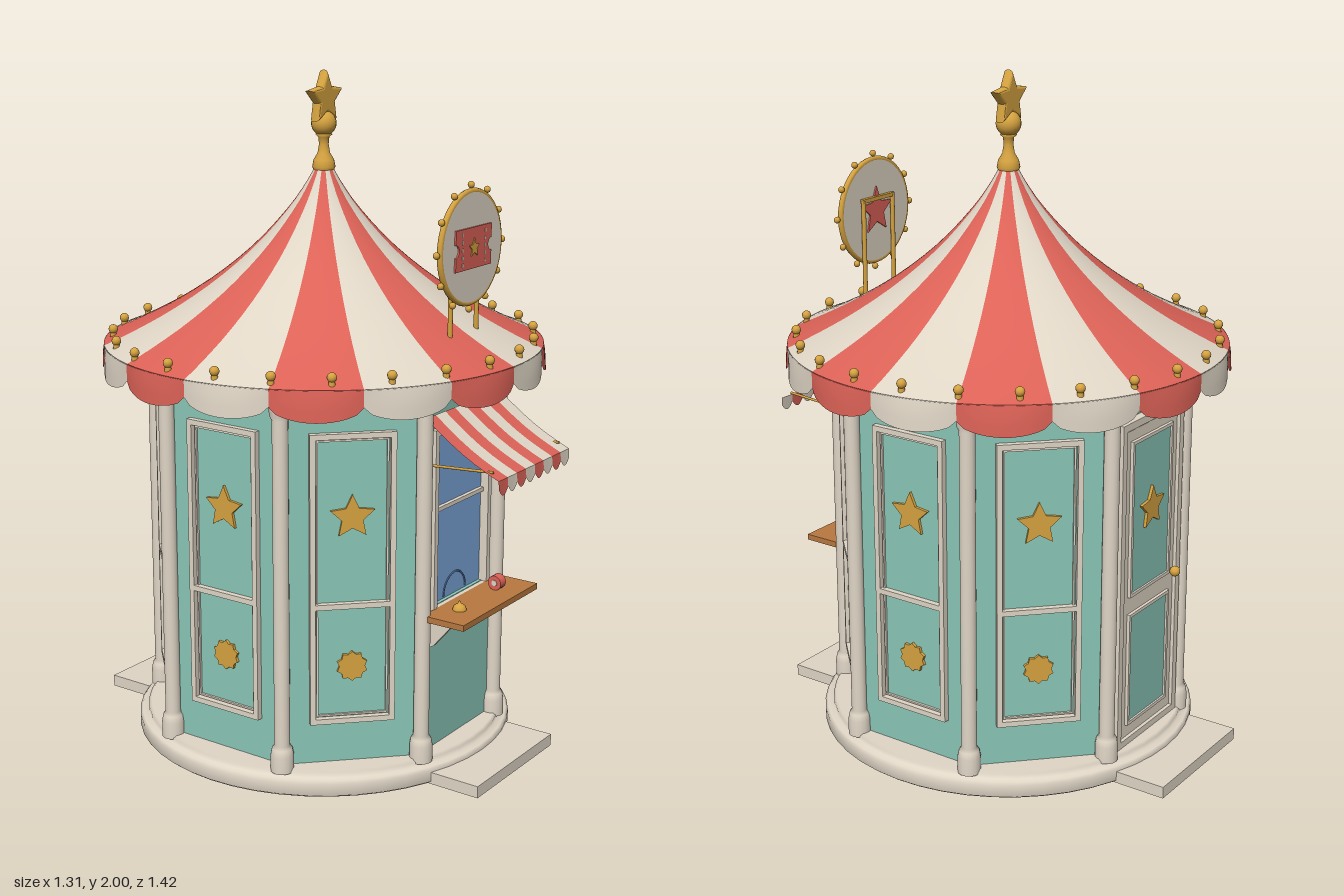
import * as THREE from 'three';

const mat = (name, color, side = THREE.FrontSide) => {
  const m = new THREE.MeshStandardMaterial({ color, side });
  m.name = name;
  return m;
};

export function createModel() {
  const cream = mat('cream', 0xe0d6c6, THREE.DoubleSide);
  const red = mat('red', 0xdc6257, THREE.DoubleSide);
  const teal = mat('teal', 0x8ac6b8);
  const gold = mat('gold', 0xd6a340);
  const blue = mat('glass blue', 0x7ba5d8);
  const navy = mat('dark blue', 0x4c6d9c);
  const wood = mat('wood', 0xb87840);

  const model = new THREE.Group();
  const booth = new THREE.Group();
  booth.name = 'booth';
  booth.position.z = -0.018;
  model.add(booth);

  const add = (parent, name, geo, material, x = 0, y = 0, z = 0) => {
    const m = new THREE.Mesh(geo, material);
    m.name = name;
    m.position.set(x, y, z);
    parent.add(m);
    return m;
  };
  const group = (name, parent = booth) => {
    const g = new THREE.Group();
    g.name = name;
    parent.add(g);
    return g;
  };
  const box = (p, name, m, w, h, d, x, y, z) => add(p, name, new THREE.BoxGeometry(w, h, d), m, x, y, z);
  const lathe = (pts, seg = 32, start = 0, len = Math.PI * 2) =>
    new THREE.LatheGeometry(pts.map(p => new THREE.Vector2(p[0], p[1])), seg, start, len);
  const plate = (shape, depth) => new THREE.ExtrudeGeometry(shape, { depth, bevelEnabled: false, curveSegments: 10 });
  // Radial outline with alternating outer and inner points
  const starShape = (points, R, r) => {
    const s = new THREE.Shape();
    for (let i = 0; i < points * 2; i++) {
      const a = Math.PI / 2 + i * Math.PI / points, q = i % 2 ? r : R;
      s[i ? 'lineTo' : 'moveTo'](q * Math.cos(a), q * Math.sin(a));
    }
    s.closePath();
    return s;
  };
  // Rectangular moulding
  const frame = (p, name, m, w, h, t, d, y, z) => {
    for (const s of [-1, 1]) {
      box(p, name, m, t, h, d, s * (w - t) / 2, y, z);
      box(p, name, m, w - 2 * t, t, d, 0, y + s * (h - t) / 2, z);
    }
  };

  // Base and steps
  add(booth, 'base', lathe([[0, 0], [0.565, 0], [0.575, 0.008], [0.575, 0.042], [0.567, 0.05], [0.548, 0.05],
    [0.548, 0.065], [0.54, 0.072], [0, 0.072]], 48), cream);
  for (const s of [-1, 1]) box(booth, s > 0 ? 'frontStep' : 'backStep', cream, 0.43, 0.036, 0.2, 0, 0.018, s * 0.59);

  // Eight columns on the corners
  const column = lathe([[0.034, 0.06], [0.034, 0.11], [0.03, 0.13], [0.023, 0.14], [0.023, 1.1], [0.03, 1.115], [0.033, 1.16]], 16);
  for (let k = 0; k < 8; k++) {
    const a = (k + 0.5) * Math.PI / 4;
    add(booth, 'column', column, cream, 0.53 * Math.sin(a), 0, 0.53 * Math.cos(a));
  }
  add(booth, 'cornice', lathe([[0.46, 1.14], [0.54, 1.14], [0.55, 1.16], [0.55, 1.2], [0.46, 1.2]], 48), cream);

  // Walls
  const F = 0.48, top = 1.16, low = 0.06;
  const star = plate(starShape(5, 0.066, 0.032), 0.009);
  const rosette = plate(starShape(10, 0.045, 0.037), 0.009);
  for (let k = 0; k < 8; k++) {
    const wall = group(k === 0 ? 'frontWall' : k === 4 ? 'backWall' : 'sideWall');
    wall.rotation.y = k * Math.PI / 4;
    if (k === 0) continue;
    box(wall, 'wallPanel', teal, 0.4, top - low, 0.02, 0, (top + low) / 2, F - 0.01);
    if (k === 4) {
      // Door with two inset panels
      box(wall, 'door', cream, 0.3, 0.97, 0.016, 0, 0.565, F + 0.008);
      frame(wall, 'doorFrame', cream, 0.34, 1.01, 0.022, 0.03, 0.575, F + 0.012);
      for (const [y, h] of [[0.78, 0.46], [0.31, 0.34]]) {
        box(wall, 'doorPanel', teal, 0.21, h, 0.004, 0, y, F + 0.018);
        frame(wall, 'doorMoulding', cream, 0.226, h + 0.016, 0.01, 0.012, y, F + 0.02);
      }
      add(wall, 'doorStar', star, gold, 0, 0.79, F + 0.02);
      add(wall, 'doorKnob', new THREE.SphereGeometry(0.016, 14, 10), gold, 0.127, 0.545, F + 0.036);
      continue;
    }
    frame(wall, 'panelMoulding', cream, 0.245, 0.86, 0.016, 0.02, 0.625, F + 0.008);
    frame(wall, 'panelInnerBead', cream, 0.205, 0.82, 0.005, 0.008, 0.625, F + 0.003);
    box(wall, 'panelRail', cream, 0.225, 0.016, 0.02, 0, 0.55, F + 0.008);
    add(wall, 'panelStar', star, gold, 0, 0.81, F);
    add(wall, 'panelRosette', rosette, gold, 0, 0.365, F);
  }

  // Front wall with ticket window
  const front = booth.getObjectByName('frontWall');
  const ws = new THREE.Shape([[-0.2, low], [0.2, low], [0.2, top], [-0.2, top]].map(p => new THREE.Vector2(...p)));
  ws.holes.push(new THREE.Path([[-0.14, 0.51], [-0.14, 1.02], [0.14, 1.02], [0.14, 0.51]].map(p => new THREE.Vector2(...p))));
  add(front, 'wallPanel', plate(ws, 0.02), teal, 0, 0, F - 0.02);
  box(front, 'windowGlass', blue, 0.29, 0.53, 0.006, 0, 0.765, F - 0.014);
  frame(front, 'windowFrame', cream, 0.31, 0.55, 0.018, 0.026, 0.765, F + 0.004);
  box(front, 'windowBar', cream, 0.28, 0.012, 0.014, 0, 0.795, F - 0.006);
  add(front, 'speakingHole', new THREE.TorusGeometry(0.06, 0.003, 6, 24, Math.PI), navy, 0, 0.515, F - 0.011);

  // Counter, brackets and objects on it
  box(front, 'counter', wood, 0.42, 0.018, 0.135, 0, 0.5, F + 0.082);
  const bs = new THREE.Shape([[0, 0.491], [0, 0.39], [0.018, 0.4], [0.085, 0.48], [0.085, 0.491]].map(p => new THREE.Vector2(...p)));
  for (const s of [-1, 1]) {
    const b = add(front, 'counterBracket', plate(bs, 0.016), cream, s * 0.15 + 0.008, 0, F);
    b.rotation.y = -Math.PI / 2;
  }
  add(front, 'ticketRoll', new THREE.CylinderGeometry(0.022, 0.022, 0.03, 20), red, 0.1, 0.531, 0.555).rotation.z = Math.PI / 2;
  add(front, 'ticketRollCore', new THREE.CylinderGeometry(0.009, 0.009, 0.034, 14), cream, 0.1, 0.531, 0.555).rotation.z = Math.PI / 2;
  add(front, 'bell', lathe([[0.02, 0], [0.02, 0.004], [0.017, 0.012], [0.009, 0.018], [0.004, 0.02], [0.004, 0.026], [0, 0.027]], 16),
    gold, -0.11, 0.509, 0.555);

  // Striped awning: sloped strip with a scalloped hem
  const awning = group('awning', front);
  for (let i = 0; i < 8; i++) {
    const x0 = -0.2 + i * 0.05;
    const m = i % 2 ? cream : red;
    const slope = new THREE.PlaneGeometry(0.05, 1, 1, 6), hem = new THREE.PlaneGeometry(0.05, 1, 8, 1);
    const sp = slope.attributes.position, hp = hem.attributes.position;
    for (let j = 0; j < sp.count; j++) {
      const t = 0.5 - sp.getY(j);
      sp.setXYZ(j, sp.getX(j), 1.085 - 0.14 * t - 0.012 * Math.sin(Math.PI * t), 0.49 + 0.235 * t);
    }
    for (let j = 0; j < hp.count; j++) {
      const u = hp.getX(j) / 0.05, t = 0.5 - hp.getY(j);
      hp.setXYZ(j, hp.getX(j), 0.945 - t * (0.025 + 0.02 * Math.cos(Math.PI * u)), 0.725 + 0.002 * t);
    }
    for (const g of [slope, hem]) {
      g.computeVertexNormals();
      add(awning, 'awningStripe', g, m, x0 + 0.025);
    }
  }
  for (const s of [-1, 1]) {
    const rod = add(awning, 'awningRod', new THREE.CylinderGeometry(0.004, 0.004, 0.21, 8), gold, s * 0.185, 0.955, 0.595);
    rod.rotation.x = Math.PI / 2 - 0.07;
  }

  // Tent roof in sixteen stripes with a scalloped valance
  const roof = group('roof');
  const curve = new THREE.SplineCurve([[0.652, 1.215], [0.57, 1.252], [0.45, 1.315], [0.32, 1.4], [0.2, 1.5], [0.1, 1.61], [0.045, 1.69], [0.022, 1.735]]
    .map(p => new THREE.Vector2(...p)));
  const profile = curve.getPoints(20), W = Math.PI / 8;
  for (let i = 0; i < 16; i++) {
    const m = i % 2 ? cream : red, start = Math.PI / 2 - (i + 1) * W;
    add(roof, 'roofStripe', new THREE.LatheGeometry(profile, 6, start, W), m);
    const g = new THREE.PlaneGeometry(1, 1, 12, 3), p = g.attributes.position;
    for (let j = 0; j < p.count; j++) {
      const u = p.getX(j) + 0.5, t = 0.5 - p.getY(j), bulge = Math.sin(Math.PI * u);
      const a = start + u * W, r = 0.651 + 0.01 * bulge * Math.sqrt(t);
      p.setXYZ(j, r * Math.sin(a), 1.217 - t * (0.05 + 0.038 * Math.sqrt(Math.max(bulge, 0))), r * Math.cos(a));
    }
    g.computeVertexNormals();
    add(roof, 'valanceScallop', g, m);
  }
  for (let i = 0; i < 24; i++) {
    const a = (i + 0.5) * Math.PI / 12, x = 0.625 * Math.sin(a), z = 0.625 * Math.cos(a);
    add(roof, 'bulbSocket', new THREE.CylinderGeometry(0.008, 0.01, 0.022, 10), gold, x, 1.231, z);
    add(roof, 'bulb', new THREE.SphereGeometry(0.014, 12, 8), gold, x, 1.246, z);
  }

  // Finial
  const finial = group('finial');
  add(finial, 'finialStem', lathe([[0.03, 1.715], [0.034, 1.725], [0.03, 1.745], [0.018, 1.765], [0.014, 1.79], [0.016, 1.81],
    [0.025, 1.818], [0.016, 1.826], [0, 1.83]], 20), gold);
  add(finial, 'finialBall', new THREE.SphereGeometry(0.037, 20, 14), gold, 0, 1.85, 0);
  const puffy = new THREE.ExtrudeGeometry(starShape(5, 0.066, 0.03),
    { depth: 0.008, bevelThickness: 0.012, bevelSize: 0.01, bevelSegments: 3 });
  add(finial, 'finialStar', puffy, gold, 0, 1.922, -0.004);

  // Round sign on two posts
  const sign = group('sign');
  sign.position.set(0, 1.537, 0.5);
  add(sign, 'signDisc', new THREE.CylinderGeometry(0.157, 0.157, 0.016, 40), cream).rotation.x = Math.PI / 2;
  add(sign, 'signRim', new THREE.TorusGeometry(0.157, 0.009, 8, 40), gold);
  for (let i = 0; i < 12; i++) {
    const a = i * Math.PI / 6;
    add(sign, 'signBulb', new THREE.SphereGeometry(0.01, 10, 8), gold, 0.175 * Math.cos(a), 0.175 * Math.sin(a), 0);
  }
  const ticket = new THREE.Shape(), H = Math.PI / 2;
  ticket.moveTo(-0.095, -0.058).lineTo(0.095, -0.058).lineTo(0.095, -0.018);
  ticket.absarc(0.095, 0, 0.018, -H, H, true);
  ticket.lineTo(0.095, 0.058).lineTo(-0.095, 0.058).lineTo(-0.095, 0.018);
  ticket.absarc(-0.095, 0, 0.018, H, -H, true);
  add(sign, 'ticketEmblem', plate(ticket, 0.006), red, 0, 0, 0.007);
  add(sign, 'ticketStar', plate(starShape(5, 0.028, 0.013), 0.004), gold, 0, 0, 0.012);
  for (const s of [-1, 1]) {
    for (let j = -2; j <= 2; j++) box(sign, 'ticketPerforation', cream, 0.005, 0.011, 0.003, s * 0.06, j * 0.021, 0.013);
    add(sign, 'signPost', new THREE.CylinderGeometry(0.007, 0.007, 0.31, 10), gold, s * 0.07, -0.115, -0.017);
  }
  box(sign, 'signCrossbar', gold, 0.15, 0.012, 0.012, 0, 0.04, -0.016);
  add(sign, 'signBackStar', plate(starShape(5, 0.075, 0.034), 0.005), red, 0, 0, -0.013);

  return model;
}
